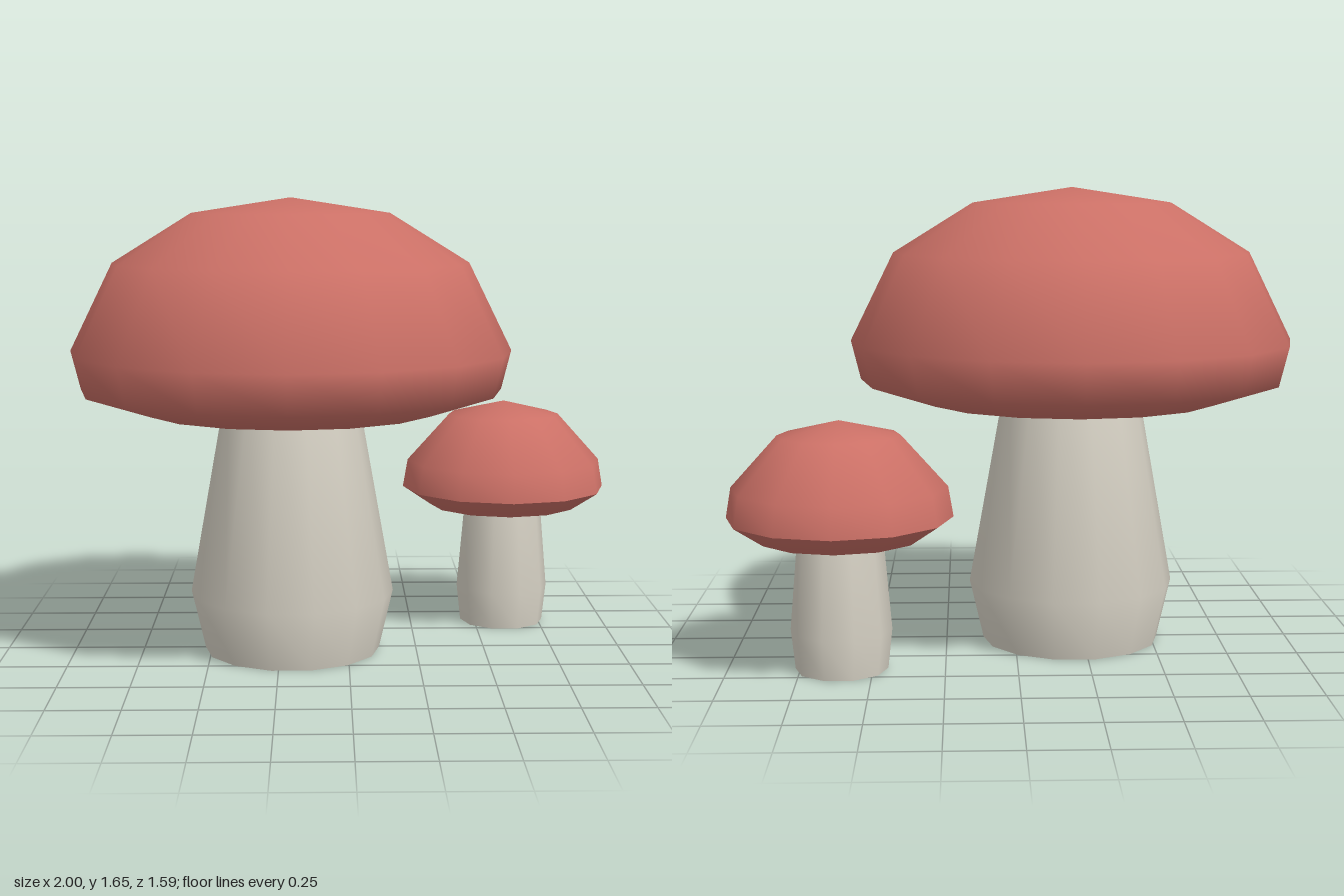
import * as THREE from 'three';
import { toCreasedNormals } from 'three/addons/utils/BufferGeometryUtils.js';

const CREASE = 1.05; // keeps the rims sharp, the domes smooth

// Faceted solid of revolution; profile runs from bottom centre to top centre
function turned(name, profile, sides, material) {
  const points = profile.map(([r, y]) => new THREE.Vector2(r, y));
  const geometry = new THREE.LatheGeometry(points, sides);
  geometry.rotateY(Math.PI / 2); // a corner points along x
  const mesh = new THREE.Mesh(toCreasedNormals(geometry, CREASE), material);
  mesh.name = name;
  return mesh;
}

export function createModel() {
  const capRed = new THREE.MeshStandardMaterial({ color: 0xcb7066 });
  capRed.name = 'cap red';
  const stemCream = new THREE.MeshStandardMaterial({ color: 0xd7d2c5 });
  stemCream.name = 'stem cream';

  const mushrooms = [
    {
      name: 'largeMushroom', x: -0.205, z: 0, capSides: 16, stemSides: 14,
      cap: [[0, 0.885], [0.53, 0.885], [0.76, 0.96], [0.795, 1.1], [0.64, 1.415], [0.355, 1.592], [0, 1.647]],
      stem: [[0, 0], [0.32, 0], [0.37, 0.215], [0.248, 0.9], [0, 0.9]],
    },
    {
      name: 'smallMushroom', x: 0.608, z: -0.39, capSides: 12, stemSides: 10,
      cap: [[0, 0.462], [0.283, 0.462], [0.388, 0.532], [0.37, 0.637], [0.21, 0.815], [0, 0.866]],
      stem: [[0, 0], [0.16, 0], [0.175, 0.14], [0.146, 0.475], [0, 0.475]],
    },
  ];

  const model = new THREE.Group();
  model.name = 'mushrooms';
  for (const m of mushrooms) {
    const group = new THREE.Group();
    group.name = m.name;
    group.position.set(m.x, 0, m.z);
    group.add(turned('cap', m.cap, m.capSides, capRed));
    group.add(turned('stem', m.stem, m.stemSides, stemCream));
    model.add(group);
  }
  return model;
}
